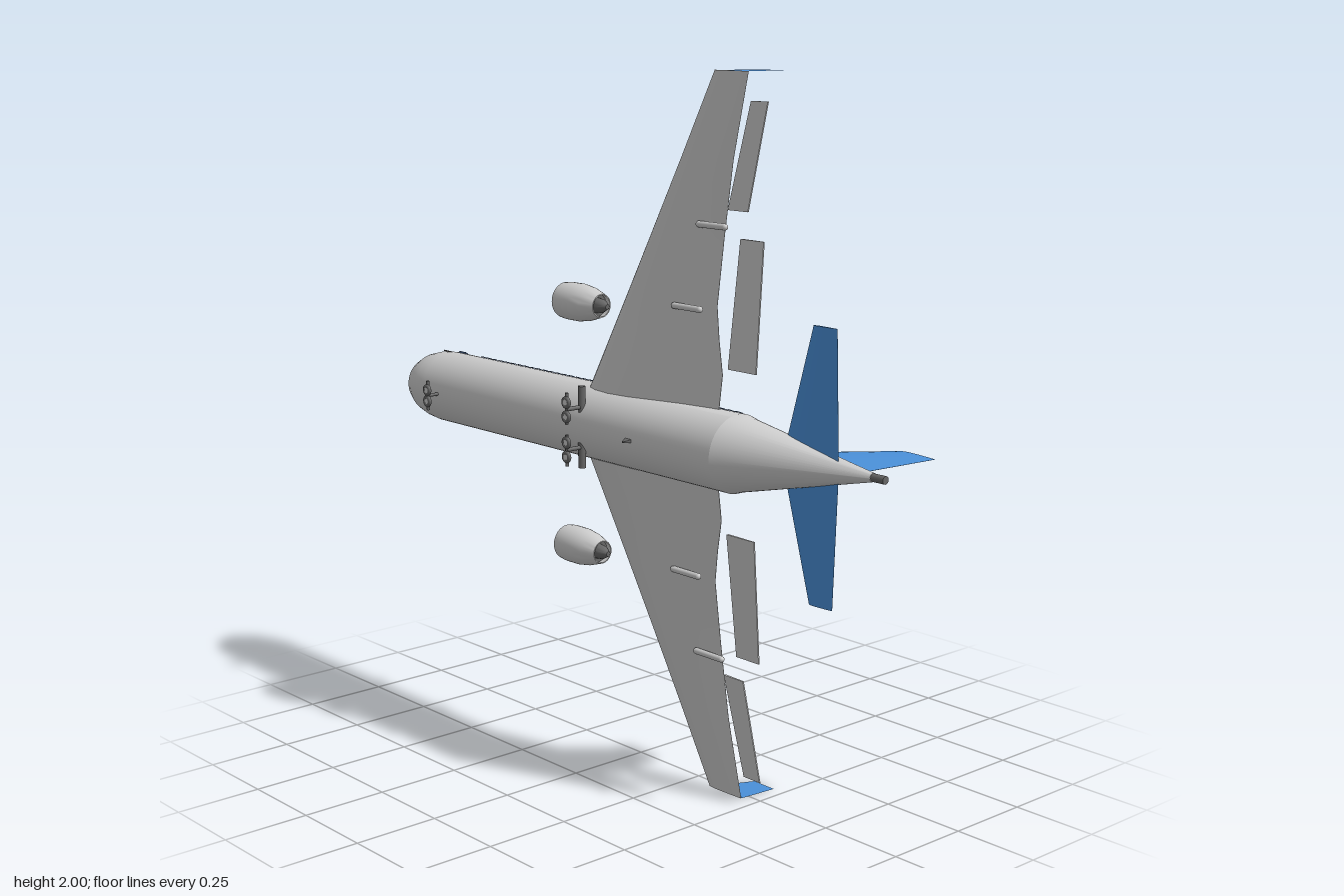
import * as THREE from 'three';
import { toCreasedNormals } from 'three/addons/utils/BufferGeometryUtils.js';

const mat = (color) => new THREE.MeshStandardMaterial({ color, side: THREE.DoubleSide });
const GREY = mat(0xcccccc), BLUE = mat(0x4a90d9), GLASS = mat(0x2a3f5f), DARK = mat(0x666666);
const MID = 1; // height of the aircraft's centreline; it lies on its side, belly to +z

// Joins equal-length rings of [x, y, z] into a skin, capped unless it closes on itself
function loft(rings, crease = 0.6, caps = true) {
  const n = rings[0].length, tris = [];
  for (let i = 0; i + 1 < rings.length; i++) {
    for (let j = 0; j < n; j++) {
      const k = (j + 1) % n, a = rings[i], b = rings[i + 1];
      tris.push([a[j], b[j], b[k]], [a[j], b[k], a[k]]);
    }
  }
  if (caps) {
    const first = rings[0], last = rings[rings.length - 1];
    const mid = (r) => [0, 1, 2].map((c) => r.reduce((t, p) => t + p[c], 0) / n);
    const m0 = mid(first), m1 = mid(last);
    for (let j = 0; j < n; j++) {
      const k = (j + 1) % n;
      tris.push([m0, first[j], first[k]], [m1, last[k], last[j]]);
    }
  }
  // Turn the faces outward using the signed volume
  const o = rings[0][0], v = (p) => new THREE.Vector3(p[0] - o[0], p[1] - o[1], p[2] - o[2]);
  const volume = tris.reduce((t, [a, b, c]) => t + v(a).dot(v(b).cross(v(c))), 0);
  if (volume < 0) tris.forEach((t) => t.reverse());
  const g = new THREE.BufferGeometry();
  g.setAttribute('position', new THREE.Float32BufferAttribute(tris.flat(2), 3));
  return toCreasedNormals(g, crease);
}

// Round body along x from stations [x, radius, z centre]
const round = (stations, y, sides = 40, crease = 0.6, caps = true) =>
  loft(stations.map(([x, r, z]) => Array.from({ length: sides }, (_, i) => {
    const a = (i / sides) * Math.PI * 2;
    return [x, y + r * Math.cos(a), z + r * Math.sin(a)];
  })), crease, caps);

// Half-thickness of an aerofoil along its chord
const FOIL = [[0, 0], [0.02, 0.35], [0.08, 0.7], [0.2, 0.97], [0.35, 1], [0.55, 0.8], [0.8, 0.38], [1, 0.03]];
const FOIL_LOOP = [...FOIL, ...FOIL.slice(1).reverse().map(([t, h]) => [t, -h])];

export function createModel() {
  const model = new THREE.Group();
  const add = (name, geometry, material = GREY, x = 0, y = 0, z = 0) => {
    const m = new THREE.Mesh(geometry, material);
    m.name = name;
    m.position.set(x, y, z);
    model.add(m);
    return m;
  };
  const rod = (r0, r1, len, sides = 16) => new THREE.CylinderGeometry(r0, r1, len, sides);

  // Fuselage with rounded nose and upswept tail cone
  add('fuselage', round([
    [-0.953, 0.003, 0.097], [-0.948, 0.027, 0.097], [-0.935, 0.05, 0.096], [-0.91, 0.073, 0.094],
    [-0.875, 0.092, 0.092], [-0.835, 0.103, 0.09], [-0.79, 0.108, 0.089], [0.49, 0.108, 0.089],
    [0.515, 0.1, 0.085], [0.91, 0.012, 0.022],
  ], MID, 48, 0.35));
  add('tailExhaust', rod(0.011, 0.011, 0.045), DARK, 0.93, MID, 0.022).rotation.z = Math.PI / 2;

  // Vertical fin: stations [z, leading x, trailing x, half thickness]
  add('fin', loft([[0.03, 0.54, 0.852, 0.011], [-0.253, 0.75, 0.88, 0.004]].map(([z, a, b, h]) =>
    FOIL_LOOP.map(([t, k]) => [a + t * (b - a), MID + k * h, z]))), BLUE);

  // Aerials on the back and belly
  for (const [x, z, dir] of [[-0.24, -0.03, -1], [0.095, -0.03, -1], [0.17, 0.207, 1]]) {
    const aerial = add('aerial', loft([[-0.015, -0.016, 0.012, 0.005], [0.016, 0.004, 0.012, 0.002]].map(
      ([d, a, b, h]) => [[a, h], [b, h], [b, -h], [a, -h]].map(([u, w]) => [u, w, d * dir]))), DARK, x, MID, z);
    aerial.rotation.z = 0;
  }

  // Nose gear: leg, axle and two wheels
  const wheel = (x, y) => {
    add('tyre', new THREE.TorusGeometry(0.012, 0.006, 10, 20), DARK, x, y, 0.235);
    add('wheelHub', rod(0.011, 0.011, 0.009), GREY, x, y, 0.235).rotation.x = Math.PI / 2;
  };
  add('noseGearLeg', rod(0.005, 0.005, 0.06), DARK, -0.715, MID, 0.21).rotation.x = Math.PI / 2;
  add('noseGearAxle', rod(0.005, 0.005, 0.09), DARK, -0.715, MID, 0.232);

  for (const s of [1, -1]) {
    const Y = (d) => MID + s * d;

    // Foil surface from stations [span, leading x, trailing x, leading z, trailing z, half thickness]
    const surface = (stations) => loft(stations.map(([d, a, b, za, zb, h]) =>
      FOIL_LOOP.map(([t, k]) => [a + t * (b - a), Y(d), za + t * (zb - za) + k * h])));
    add('wing', surface([
      [0.04, -0.12, 0.405, 0.118, 0.088, 0.028], [0.11, -0.087, 0.41, 0.112, 0.083, 0.025],
      [0.2, -0.045, 0.415, 0.103, 0.076, 0.022], [0.29, -0.003, 0.395, 0.094, 0.07, 0.019],
      [0.38, 0.039, 0.38, 0.085, 0.064, 0.016], [0.56, 0.122, 0.392, 0.067, 0.052, 0.012],
      [0.77, 0.219, 0.412, 0.047, 0.04, 0.008], [1, 0.325, 0.452, 0.028, 0.027, 0.003],
    ]));
    add('tailplane', surface([[0.02, 0.622, 0.818, 0.051, 0.051, 0.008],
      [0.37, 0.722, 0.805, 0.051, 0.051, 0.004]]), BLUE);

    // Flat winglet standing on the wing tip
    const tip = new THREE.Shape([[0.33, 0.028], [0.452, 0.024], [0.463, -0.09], [0.385, -0.09]]
      .map(([x, z]) => new THREE.Vector2(x, z)));
    add('winglet', new THREE.ShapeGeometry(tip).rotateX(Math.PI / 2), BLUE, 0, Y(0.9995), 0);

    // Extended flaps: corner stations [span, front x, rear x, z]
    const flaps = [[[0.225, 0.46, 0.565, 0.097], [0.57, 0.477, 0.563, 0.072]],
      [[0.64, 0.415, 0.49, 0.059], [0.925, 0.475, 0.537, 0.037]]];
    for (const f of flaps) {
      add('flap', loft(f.map(([d, a, b, z]) =>
        [[a, z - 0.004], [b, z], [b, z + 0.004], [a, z + 0.004]].map(([x, w]) => [x, Y(d), w])), 0.2));
    }

    // Flap track fairings under the wing
    for (const [d, x, z] of [[0.37, 0.288, 0.09], [0.595, 0.36, 0.068]]) {
      add('flapFairing', new THREE.CapsuleGeometry(0.009, 0.1, 6, 14), GREY, x, Y(d), z).rotation.z = Math.PI / 2;
    }

    // Engine: hollow cowling, fan, spinner and tail plug
    const ey = Y(0.352), ez = 0.167;
    add('engineCowling', round([
      [-0.132, 0.041, ez], [-0.136, 0.045, ez], [-0.132, 0.05, ez], [-0.11, 0.053, ez], [-0.06, 0.053, ez],
      [-0.02, 0.047, ez], [0.025, 0.033, ez], [0.025, 0.03, ez], [-0.02, 0.04, ez], [-0.1, 0.041, ez],
      [-0.132, 0.041, ez],
    ], ey, 32, 0.7, false));
    add('engineCore', round([[-0.09, 0.04, ez], [-0.03, 0.038, ez], [0.005, 0.033, ez]], ey, 24), DARK);
    add('spinner', rod(0, 0.013, 0.03), GREY, -0.112, ey, ez).rotation.z = Math.PI / 2;
    add('exhaustPlug', round([[0, 0.022, ez], [0.028, 0.019, ez], [0.05, 0.007, ez]], ey, 20, 0.5), DARK);
    for (let i = 0; i < 14; i++) {
      const a = (i / 14) * Math.PI * 2;
      const blade = add('fanBlade', new THREE.BoxGeometry(0.012, 0.03, 0.003), GREY,
        -0.1, ey + 0.025 * Math.cos(a), ez + 0.025 * Math.sin(a));
      blade.rotation.x = a;
    }

    // Main and nose wheels, main gear legs
    wheel(-0.05, Y(0.037));
    wheel(-0.05, Y(0.078));
    wheel(-0.715, Y(0.017));
    add('mainGearLeg', rod(0.011, 0.011, 0.085), DARK, -0.05, Y(0.075), 0.178);
    add('mainGearAxle', rod(0.005, 0.005, 0.09), DARK, -0.05, Y(0.06), 0.233);
    add('mainGearStrut', rod(0.006, 0.006, 0.06), DARK, -0.05, Y(0.058), 0.205).rotation.x = Math.PI / 2;

    // Cabin windows, cockpit window and probe
    for (let i = 0; i < 38; i++) {
      add('cabinWindow', new THREE.BoxGeometry(0.014, 0.006, 0.016), GLASS, -0.67 + i * 0.0303, Y(0.1), 0.05)
        .rotation.x = -s * 0.38;
    }
    add('cockpitWindow', new THREE.BoxGeometry(0.034, 0.012, 0.05), GLASS, -0.8, Y(0.081), 0.02)
      .rotation.x = -s * 0.7;
    add('probe', rod(0.002, 0.002, 0.035, 8), DARK, -0.805, Y(0.109), 0.09).rotation.z = Math.PI / 2;
  }
  return model;
}
